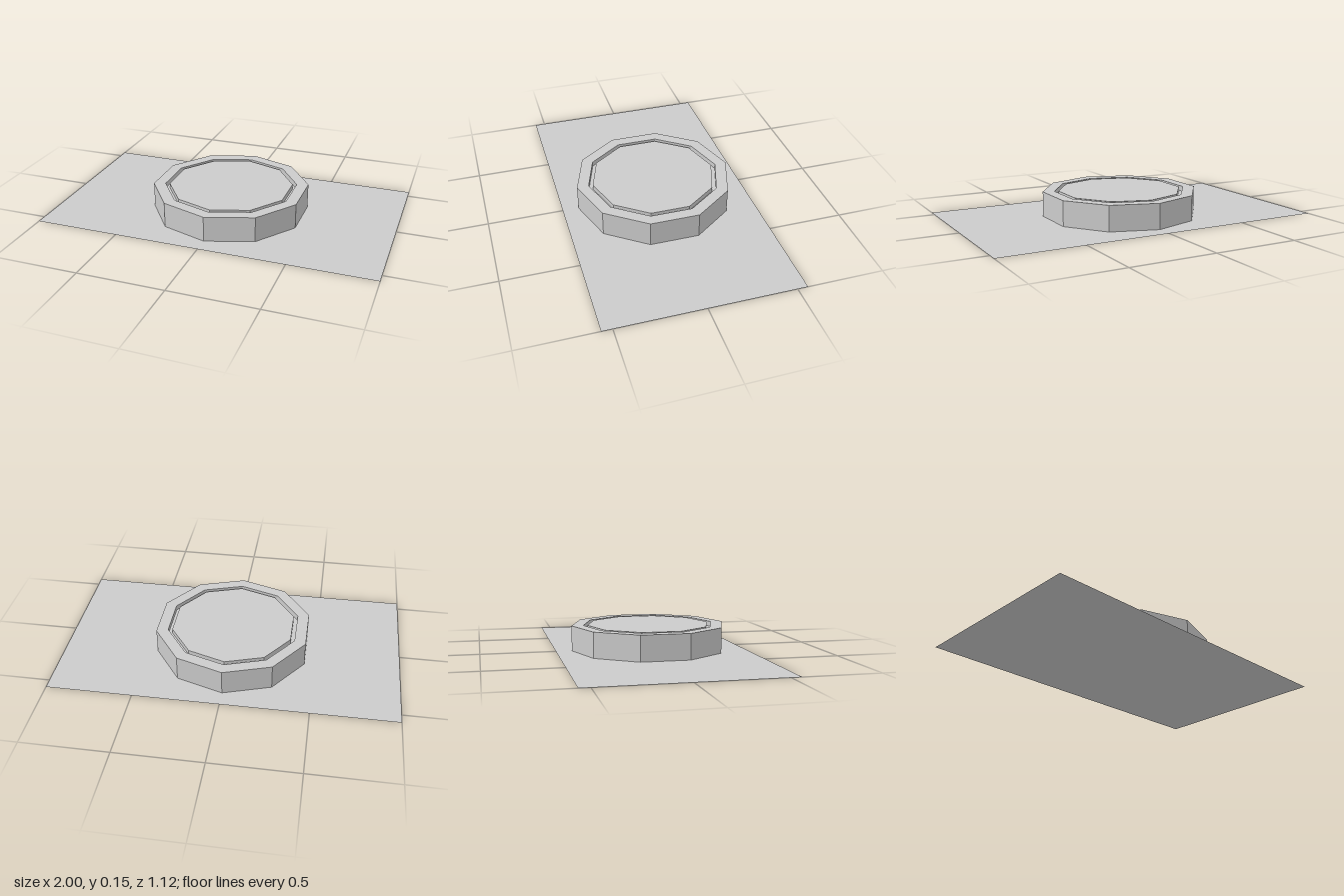
import * as THREE from 'three';

const SIDES = 10;

export function createModel() {
  const group = new THREE.Group();
  const material = new THREE.MeshStandardMaterial({
    color: 0xcccccc, flatShading: true, side: THREE.DoubleSide,
  });
  const add = (name, geometry) => {
    const mesh = new THREE.Mesh(geometry, material);
    mesh.name = name;
    group.add(mesh);
  };
  const lathe = (points) =>
    new THREE.LatheGeometry(points.map(([r, y]) => new THREE.Vector2(r, y)), SIDES);

  // Flat rectangular ground sheet
  add('basePlate', new THREE.PlaneGeometry(2, 1.12).rotateX(-Math.PI / 2));

  // Ten-sided rim: outer wall, top and inner wall down to the groove floor
  add('rim', lathe([[0.465, 0], [0.465, 0.15], [0.395, 0.15], [0.395, 0.12]]));

  // Narrow groove floor and the raised centre panel
  add('groove', lathe([[0.395, 0.12], [0.37, 0.12]]));
  add('centrePanel', lathe([[0.37, 0.12], [0.37, 0.15], [0, 0.15]]));

  return group;
}
